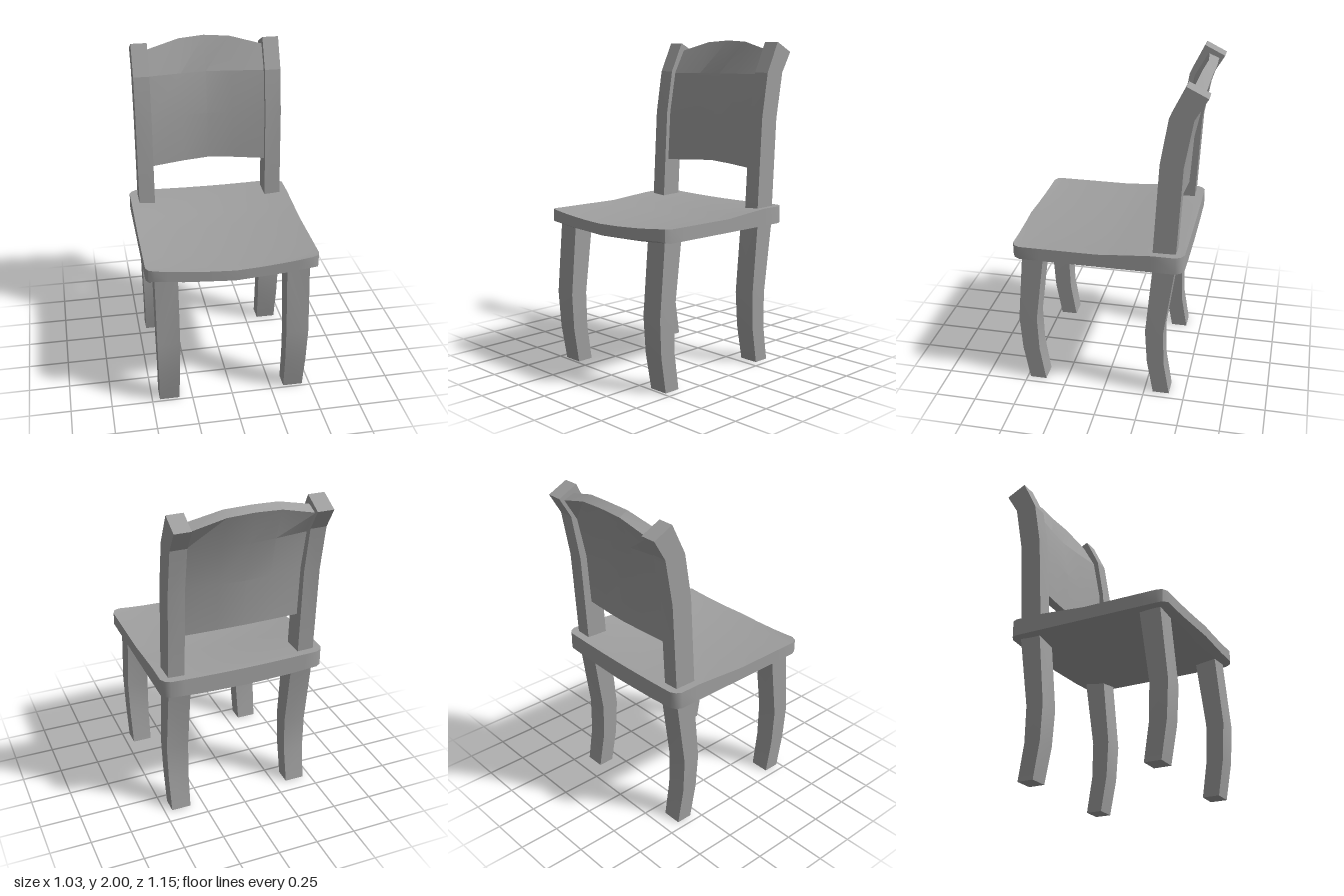
import * as THREE from 'three';
import { toCreasedNormals } from 'three/addons/utils/BufferGeometryUtils.js';

const material = new THREE.MeshStandardMaterial({ color: 0x9f9f9f });

// Closed solid through equal-sized rings; end caps pair point i with point n-1-i.
function loft(name, rings, crease) {
  const n = rings[0].length, index = [];
  const quad = (a, b, c, d) => index.push(a, b, c, a, c, d);
  for (let r = 0; r < rings.length - 1; r++) {
    for (let i = 0; i < n; i++) {
      const j = (i + 1) % n, a = r * n, b = a + n;
      quad(a + i, a + j, b + j, b + i);
    }
  }
  const last = (rings.length - 1) * n;
  for (let i = 0; i < n / 2 - 1; i++) {
    quad(i, n - 1 - i, n - 2 - i, i + 1);
    quad(last + i, last + i + 1, last + n - 2 - i, last + n - 1 - i);
  }
  // Turn the faces outward if the enclosed volume is negative.
  const pts = rings.flat().map(p => new THREE.Vector3(...p));
  let volume = 0;
  for (let i = 0; i < index.length; i += 3) {
    const [a, b, c] = [0, 1, 2].map(k => pts[index[i + k]]);
    volume += a.dot(new THREE.Vector3().crossVectors(b, c));
  }
  if (volume < 0) index.reverse();
  const geometry = new THREE.BufferGeometry().setFromPoints(pts);
  geometry.setIndex(index);
  const mesh = new THREE.Mesh(toCreasedNormals(geometry, crease), material);
  mesh.name = name;
  return mesh;
}

// Four-sided post. Each section: [inner x, outer x, front y, front z, back y, back z]
function post(name, side, sections) {
  return loft(name, sections.map(([xi, xo, yf, zf, yb, zb]) => [
    [side * xi, yf, zf], [side * xo, yf, zf], [side * xo, yb, zb], [side * xi, yb, zb],
  ]), 0.2);
}

// Seat: dished on top, sagging below, bowed front edge and rounded corners.
function seat() {
  const columns = [-1, -0.82, -0.63, -0.31, 0, 0.31, 0.63, 0.82, 1];
  const sagShape = u => Math.min(1 - 0.6 * u, 1.6 * (1 - u));
  // [z, half width, edge top y, dish, edge bottom y, sag, front bow]
  const rows = [
    [0.547, 0.465, 0.962, 0.026, 0.892, 0.022, 0.028],
    [0.53, 0.5, 0.962, 0.026, 0.885, 0.022, 0.024],
    [0.497, 0.513, 0.96, 0.026, 0.88, 0.025, 0.015],
    [0.37, 0.513, 0.96, 0.028, 0.88, 0.057, 0],
    [0.03, 0.513, 0.96, 0.028, 0.88, 0.057, 0],
    [-0.13, 0.513, 0.973, 0.028, 0.88, 0.057, 0],
    [-0.29, 0.513, 0.985, 0.022, 0.88, 0.057, 0],
    [-0.43, 0.513, 0.985, 0.012, 0.88, 0.022, 0],
    [-0.46, 0.495, 0.985, 0.01, 0.88, 0.02, 0],
    [-0.478, 0.465, 0.985, 0.01, 0.88, 0.02, 0],
  ];
  return loft('seat', rows.map(([z, w, top, dish, bottom, sag, bow]) => {
    const at = (u, y) => [u * w, y, z + bow * (1 - Math.abs(u))];
    return [
      ...columns.map(u => at(u, top - dish * (1 - u * u))),
      ...columns.map(u => at(u, bottom - sag * sagShape(Math.abs(u)))).reverse(),
    ];
  }), 0.6);
}

// Back panel: bends with the posts and curves backward toward its middle.
function backPanel() {
  // [x, bottom y, top y, backward curve]
  const columns = [
    [-0.37, 1.215, 1.935, 0], [-0.16, 1.228, 1.99, 0.028], [0, 1.235, 2, 0.042],
    [0.16, 1.228, 1.99, 0.028], [0.37, 1.215, 1.935, 0],
  ];
  return loft('backPanel', columns.map(([x, low, high, curve]) => [
    [x, low, -0.33 - curve],
    [x, 1.53, -0.348 - curve],
    [x, 1.79, -0.395 - curve],
    [x, high, -0.475 - curve],
    [x, high - 0.027, -0.543 - curve * 0.57],
    [x, 1.77, -0.46 - curve],
    [x, 1.525, -0.408 - curve],
    [x, low, -0.388 - curve],
  ]), 0.2);
}

export function createModel() {
  const model = new THREE.Group();
  model.add(seat(), backPanel());

  // Curved legs: [inner x, outer x, y, front z, back z]
  const frontLeg = [
    [0.325, 0.462, 0.91, 0.5, 0.365], [0.325, 0.462, 0.86, 0.498, 0.37],
    [0.325, 0.462, 0.44, 0.534, 0.423], [0.328, 0.457, 0.22, 0.52, 0.415],
    [0.332, 0.453, 0, 0.482, 0.38],
  ];
  const backLeg = [
    [0.325, 0.462, 0.91, -0.292, -0.43], [0.325, 0.462, 0.86, -0.29, -0.42],
    [0.325, 0.462, 0.44, -0.252, -0.362], [0.328, 0.457, 0.22, -0.265, -0.368],
    [0.332, 0.453, 0, -0.305, -0.405],
  ];
  const level = rows => rows.map(([xi, xo, y, zf, zb]) => [xi, xo, y, zf, y, zb]);
  // Back posts leaning away at the top
  const backPost = [
    [0.362, 0.462, 0.95, -0.288, 0.95, -0.424], [0.362, 0.462, 1.53, -0.32, 1.52, -0.454],
    [0.362, 0.462, 1.8, -0.365, 1.8, -0.503], [0.362, 0.462, 1.985, -0.455, 1.925, -0.577],
  ];
  for (const [side, label] of [[1, 'Left'], [-1, 'Right']]) {
    model.add(
      post('frontLeg' + label, side, level(frontLeg)),
      post('backLeg' + label, side, level(backLeg)),
      post('backPost' + label, side, backPost),
    );
  }
  return model;
}
